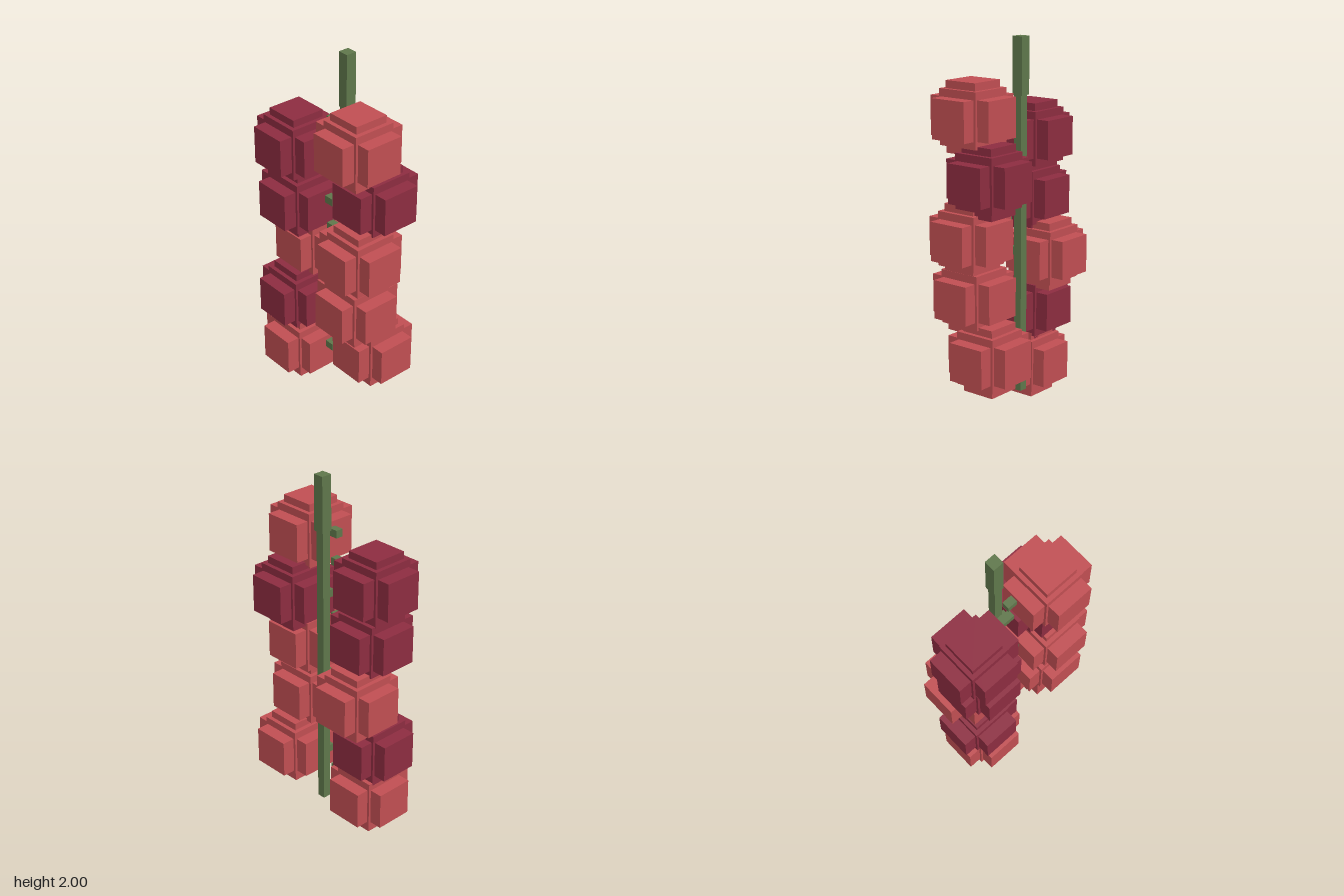
import * as THREE from 'three';

const mat = (name, color) => {
  const m = new THREE.MeshStandardMaterial({ color });
  m.name = name;
  return m;
};

function box(parent, name, material, size, pos) {
  const mesh = new THREE.Mesh(new THREE.BoxGeometry(...size), material);
  mesh.name = name;
  mesh.position.set(...pos);
  parent.add(mesh);
  return mesh;
}

export function createModel() {
  const model = new THREE.Group();
  model.name = 'berryCluster';
  const red = mat('berryRed', 0xc24f53);
  const dark = mat('darkBerryRed', 0x8e2d41);
  const green = mat('stemGreen', 0x60784c);

  // Stem: thick square top over a thinner rod
  box(model, 'stemTop', green, [0.06, 0.3, 0.06], [0, 1.85, -0.069]);
  box(model, 'stem', green, [0.047, 1.605, 0.047], [0, 0.8975, -0.066]);

  // Berry: blocky ball made of a core crossed by three bars
  function berry(material, x, y, z) {
    const g = new THREE.Group();
    g.name = 'berry';
    g.position.set(x, y, z);
    box(g, 'core', material, [0.24, 0.29, 0.24], [0, 0, 0]);
    box(g, 'sideBar', material, [0.385, 0.208, 0.214], [0, 0, 0]);
    box(g, 'depthBar', material, [0.214, 0.208, 0.385], [0, 0, 0]);
    box(g, 'uprightBar', material, [0.193, 0.37, 0.193], [0, 0, 0]);
    model.add(g);

    // Short stalk reaching from the stem line into the berry
    const side = Math.sign(x), end = Math.abs(x) - 0.15;
    box(model, 'stalk', green, [end + 0.02, 0.042, 0.042],
      [side * (end - 0.02) / 2, y + 0.055, z > 0 ? 0.028 : -0.035]);
  }

  // Two columns, bottom to top: [material, distance from stem, z]
  const front = 0.058, back = -0.053;
  const leftColumn = [
    [red, 0.237, back], [red, 0.228, front], [red, 0.25, front],
    [dark, 0.237, back], [red, 0.228, front],
  ];
  const rightColumn = [
    [red, 0.228, front], [dark, 0.252, front], [red, 0.24, back],
    [dark, 0.228, front], [dark, 0.252, front],
  ];
  const step = 0.315;
  leftColumn.forEach(([m, x, z], i) => berry(m, x, 0.345 + i * step, z));
  rightColumn.forEach(([m, x, z], i) => berry(m, -x, 0.187 + i * step, z));

  return model;
}
